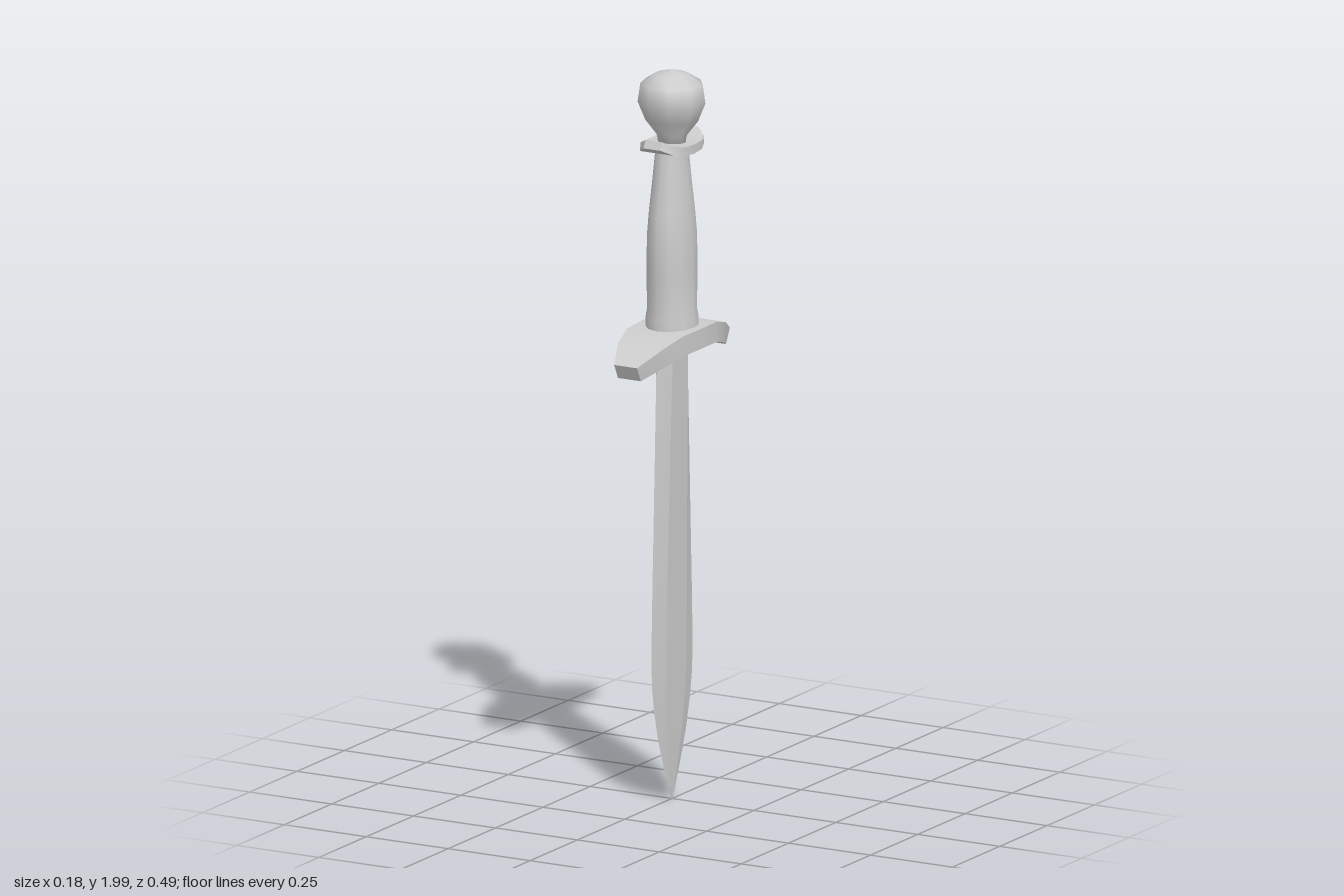
import * as THREE from 'three';
import { toCreasedNormals } from 'three/addons/utils/BufferGeometryUtils.js';

const steel = new THREE.MeshStandardMaterial({ color: 0xcccccc });
steel.name = 'steel';

// Closed solid through a list of equal-length rings of [x, y, z] points
function loft(rings, crease) {
  const n = rings[0].length, pos = rings.flat(2), idx = [];
  for (let r = 0; r < rings.length - 1; r++) {
    for (let i = 0; i < n; i++) {
      const a = r * n + i, b = r * n + (i + 1) % n;
      idx.push(a, b, b + n, a, b + n, a + n);
    }
  }
  const last = (rings.length - 1) * n;
  for (let i = 1; i < n - 1; i++) {
    idx.push(0, i + 1, i, last, last + i, last + i + 1);
  }
  // Turn the faces outward if the rings run the other way
  const p = (i) => new THREE.Vector3().fromArray(pos, i * 3);
  let volume = 0;
  for (let i = 0; i < idx.length; i += 3) {
    volume += p(idx[i]).dot(p(idx[i + 1]).cross(p(idx[i + 2])));
  }
  if (volume < 0) idx.reverse();
  const geo = new THREE.BufferGeometry();
  geo.setAttribute('position', new THREE.Float32BufferAttribute(pos, 3));
  geo.setIndex(idx);
  return toCreasedNormals(geo, crease);
}

// Curved cross bar from half sections [z, half width, bottom y, top y, bottom z]
function bar(half) {
  const mirrored = half.slice(1).reverse().map(([z, w, b, t, zb]) => [-z, w, b, t, -zb]);
  return loft([...mirrored, ...half].map(([z, w, b, t, zb]) => [
    [-w, b, zb], [w, b, zb], [w, t, z], [-w, t, z],
  ]), 0.6);
}

export function createModel() {
  const group = new THREE.Group();
  const add = (name, geo) => {
    const mesh = new THREE.Mesh(geo, steel);
    mesh.name = name;
    group.add(mesh);
    return mesh;
  };

  // Blade: bevelled hexagonal section, [y, half width, half thickness]
  const blade = [
    [0.01, 0.001, 0.001], [0.1, 0.042, 0.005], [0.19, 0.075, 0.008],
    [0.27, 0.095, 0.01], [0.34, 0.106, 0.012], [0.42, 0.109, 0.013],
    [0.56, 0.105, 0.015], [0.9, 0.093, 0.02], [1.28, 0.08, 0.027],
  ];
  add('blade', loft(blade.map(([y, w, t]) => [
    [0, y, w], [t, y, w * 0.5], [t, y, -w * 0.5],
    [0, y, -w], [-t, y, -w * 0.5], [-t, y, w * 0.5],
  ]), 0.2));

  // Cross guard drooping toward the blade
  add('crossGuard', bar([
    [0, 0.09, 1.25, 1.305, 0], [0.09, 0.085, 1.248, 1.303, 0.085],
    [0.165, 0.069, 1.232, 1.283, 0.15], [0.245, 0.035, 1.205, 1.245, 0.225],
  ]));

  // Upper collar curling toward the pommel
  add('collar', bar([
    [0, 0.068, 1.78, 1.805, 0], [0.045, 0.066, 1.783, 1.807, 0.045],
    [0.075, 0.052, 1.79, 1.812, 0.08], [0.095, 0.026, 1.806, 1.827, 0.105],
  ]));

  // Grip: oval rings, [y, x radius, z radius]
  const grip = [
    [1.29, 0.068, 0.079], [1.33, 0.067, 0.078], [1.35, 0.063, 0.076],
    [1.45, 0.063, 0.08], [1.55, 0.061, 0.083], [1.62, 0.056, 0.076],
    [1.7, 0.049, 0.062], [1.8, 0.04, 0.05],
  ];
  add('grip', loft(grip.map(([y, rx, rz]) => Array.from({ length: 12 }, (_, i) => {
    const a = i / 12 * Math.PI * 2;
    return [rx * Math.cos(a), y, rz * Math.sin(a)];
  })), 0.9));

  // Pommel: nine-sided pear-shaped knob
  const profile = [
    [0, 1.79], [0.034, 1.79], [0.04, 1.825], [0.07, 1.865], [0.09, 1.915],
    [0.083, 1.965], [0.045, 1.99], [0, 2],
  ].map(([r, y]) => new THREE.Vector2(r, y));
  const knob = add('pommel', new THREE.LatheGeometry(profile, 9, -1.68));
  knob.scale.set(1.03, 1, 0.97);

  return group;
}
